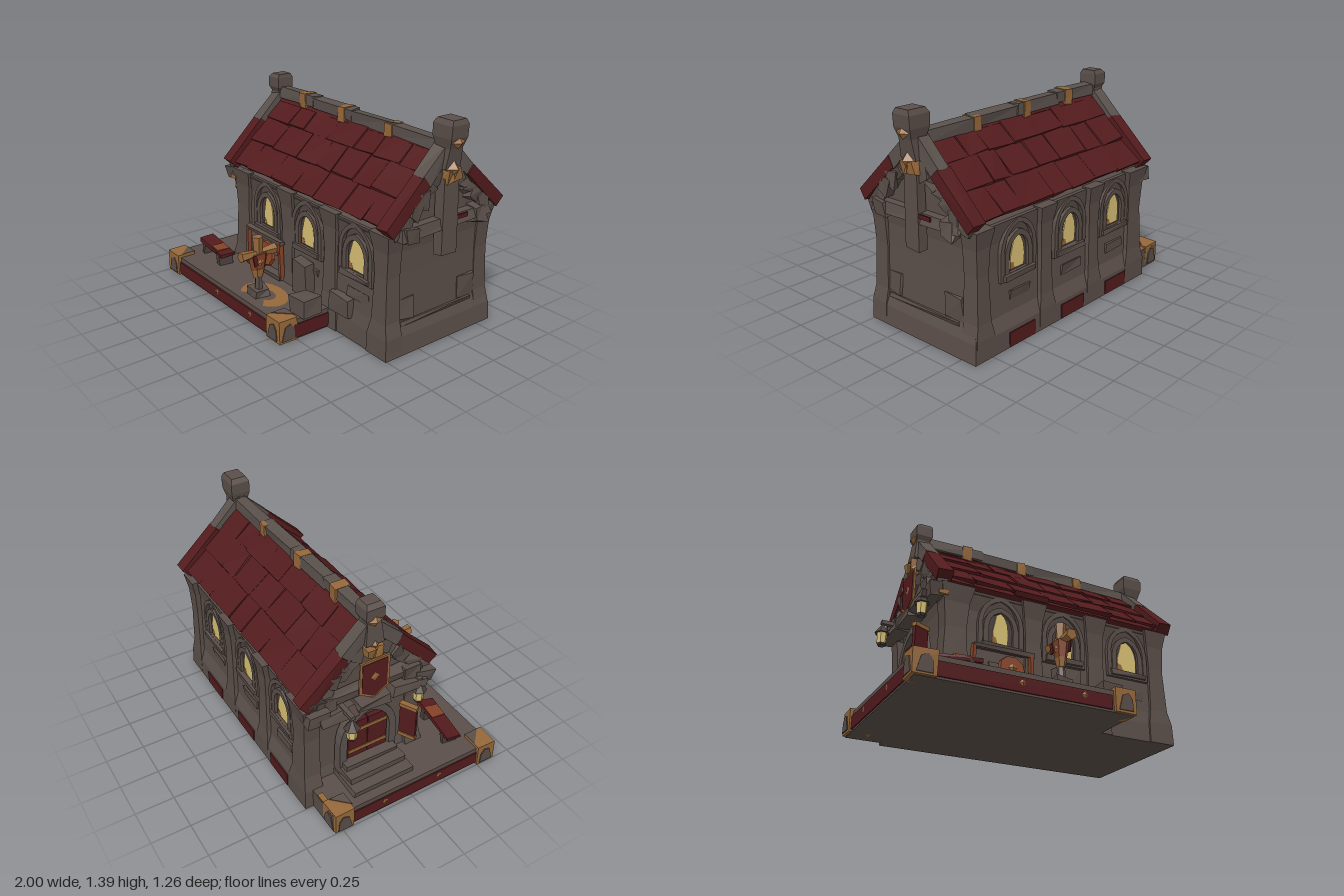
import * as THREE from 'three';

const flat = (name, color) => {
  const m = new THREE.MeshStandardMaterial({ color, flatShading: true });
  m.name = name;
  return m;
};
const stone = flat('stone', 0x5a4e49), lightStone = flat('light stone', 0x5a514c), darkStone = flat('dark stone', 0x4a403d);
const red = flat('dark red', 0x531b1d), gold = flat('bronze', 0x96683a), glow = flat('window yellow', 0xd8c074);
const rust = flat('rust', 0x844328);

let seed = 7;
const rnd = () => (seed = (seed * 16807) % 2147483647) / 2147483647;
const jit = (a) => (rnd() - 0.5) * 2 * a;

function add(parent, name, geo, mat, x = 0, y = 0, z = 0) {
  const m = new THREE.Mesh(geo, mat);
  m.name = name;
  m.position.set(x, y, z);
  parent.add(m);
  return m;
}
function group(parent, name, x = 0, y = 0, z = 0, ry = 0) {
  const g = new THREE.Group();
  g.name = name;
  g.position.set(x, y, z);
  g.rotation.y = ry;
  parent.add(g);
  return g;
}
// Box with corners nudged for a hand-hewn look
function box(parent, name, mat, w, h, d, x, y, z, rough = 0) {
  const geo = new THREE.BoxGeometry(w, h, d), p = geo.attributes.position;
  const off = Array.from({ length: 8 }, () => [jit(rough), jit(rough), jit(rough)]);
  for (let i = 0; i < p.count; i++) {
    const k = (p.getX(i) > 0 ? 1 : 0) + (p.getY(i) > 0 ? 2 : 0) + (p.getZ(i) > 0 ? 4 : 0);
    p.setXYZ(i, p.getX(i) + off[k][0], p.getY(i) + off[k][1], p.getZ(i) + off[k][2]);
  }
  return add(parent, name, geo, mat, x, y, z);
}
// Stacked rectangles [y, x0, x1, z0, z1] joined into a solid
function loft(rings) {
  const pos = [], idx = [];
  rings.forEach(([y, x0, x1, z0, z1]) => pos.push(x0, y, z1, x1, y, z1, x1, y, z0, x0, y, z0));
  for (let i = 0; i < rings.length - 1; i++) for (let j = 0; j < 4; j++) {
    const a = i * 4 + j, b = i * 4 + (j + 1) % 4;
    idx.push(a, b, b + 4, a, b + 4, a + 4);
  }
  const t = (rings.length - 1) * 4;
  idx.push(t, t + 1, t + 2, t, t + 2, t + 3, 0, 2, 1, 0, 3, 2);
  const g = new THREE.BufferGeometry();
  g.setAttribute('position', new THREE.Float32BufferAttribute(pos, 3));
  g.setIndex(idx);
  const out = g.toNonIndexed();
  out.computeVertexNormals();
  return out;
}
const extrude = (shape, depth) => new THREE.ExtrudeGeometry(shape, { depth, bevelEnabled: false, curveSegments: 5 });
const poly = (pts) => new THREE.Shape(pts.map(([x, y]) => new THREE.Vector2(x, y)));
// Pointed arch outline, half width w, from y0 to y1
function arch(w, y0, y1) {
  const s = new THREE.Shape();
  s.moveTo(-w, y0); s.lineTo(w, y0); s.lineTo(w, y1 - w * 1.2);
  s.quadraticCurveTo(w * 0.9, y1 - w * 0.25, 0, y1);
  s.quadraticCurveTo(-w * 0.9, y1 - w * 0.25, -w, y1 - w * 1.2);
  return s;
}
function archRing(w, y0, y1, t) {
  const s = arch(w, y0, y1);
  s.holes.push(arch(w - t, y0 + t * 0.7, y1 - t));
  return s;
}

function windowBay(parent, x, z, ry, half) {
  const g = group(parent, 'window', x, 0, z, ry);
  add(g, 'outerArch', extrude(archRing(0.15, 0.4, 0.76, 0.03), 0.03), stone, 0, 0, -0.005);
  add(g, 'windowFrame', extrude(archRing(0.115, 0.42, 0.69, 0.035), 0.025), stone);
  add(g, 'windowRecess', extrude(arch(0.1, 0.43, 0.68), 0.006), darkStone);
  // Cracked pane with an uneven outline
  const pane = [[-1, 0], [0.9, 0], [1, 0.35], [0.85, 0.65], [0.5, 0.88], [0.05, 1], [-0.5, 0.9], [-0.75, 0.62], [-0.95, 0.4]];
  add(g, 'windowGlass', extrude(poly(pane.map(([u, v]) => [u * half, 0.455 + v * 0.2])), 0.008), glow, 0, 0, 0.004);
  add(g, 'windowStain', extrude(poly([[-half, 0.455], [-half * 0.4, 0.455], [-half * 0.6, 0.49], [-half, 0.5]]), 0.002), gold, 0, 0, 0.0115);
  box(g, 'windowSill', stone, 0.26, 0.035, 0.05, 0, 0.425, 0.015, 0.006);
  box(g, 'wallBlock', stone, 0.18, 0.06, 0.03, 0.02, 0.3, 0.005, 0.008);
}

function buildRoof(root) {
  for (const side of [0, 1]) {
    const g = group(root, side ? 'backRoof' : 'frontRoof', 0.08, 1.225, -0.165);
    g.rotation.order = 'YXZ';
    g.rotation.set(0.77, side * Math.PI, 0);
    box(g, 'roofSlab', red, 1.52, 0.03, 0.575, 0, -0.047, 0.2875);
    // Three courses of broad, uneven tiles
    for (let r = 0; r < 3; r++) {
      for (let x = -0.75; x < 0.74;) {
        let w = 0.15 + rnd() * 0.12;
        if (x + w > 0.66) w = 0.75 - x;
        const t = box(g, 'roofTile', red, w - 0.004, 0.024, 0.215, x + w / 2, -0.012, 0.1 + r * 0.192, 0.007);
        t.rotation.set(-0.06 + jit(0.015), jit(0.02), 0);
        x += w;
      }
    }
    // Verge boards, stone above and red below
    for (const s of [-1, 1]) {
      box(g, 'vergeUpper', lightStone, 0.085, 0.08, 0.26, s * 0.785, -0.005, 0.12, 0.006);
      box(g, 'vergeLower', red, 0.09, 0.075, 0.365, s * 0.785, -0.003, 0.427, 0.006);
    }
  }
  // Ridge beam with bands
  for (let i = 0; i < 4; i++)
    box(root, 'ridgeBeam', lightStone, 0.4, 0.075, 0.075, -0.49 + i * 0.38, 1.238 - i * 0.009, -0.165, 0.008);
  for (const x of [-0.4, 0, 0.44]) box(root, 'ridgeBand', gold, 0.065, 0.1, 0.09, x, 1.232 - (x + 0.4) * 0.025, -0.165, 0.006);
  // Ridge posts with bevelled heads
  add(root, 'leftRidgePost', loft([[1.1, -0.77, -0.66, -0.225, -0.105], [1.24, -0.755, -0.67, -0.21, -0.12],
    [1.27, -0.765, -0.655, -0.225, -0.105], [1.335, -0.765, -0.655, -0.225, -0.105], [1.36, -0.74, -0.66, -0.21, -0.12]]), stone);
  add(root, 'rightRidgePost', loft([[1.1, 0.84, 0.93, -0.225, -0.105], [1.22, 0.84, 0.95, -0.215, -0.115],
    [1.28, 0.825, 0.97, -0.23, -0.1], [1.355, 0.825, 0.975, -0.23, -0.1], [1.385, 0.845, 0.965, -0.215, -0.115]]), stone);
}

function buildGable(root, x, s) {
  const g = group(root, s > 0 ? 'rightGable' : 'leftGable', x, 0, -0.165, s * Math.PI / 2);
  box(g, 'gableBeam', stone, 0.7, 0.07, 0.07, 0, 0.775, 0.02, 0.014);
  // Rubble stones under the verge
  for (const m of [-1, 1]) {
    for (let i = 0; i < 6; i++) {
      const b = box(g, 'gableStone', stone, 0.1, 0.075, 0.06, m * (0.08 + i * 0.055), 1.04 - i * 0.05, 0.01, 0.018);
      b.rotation.z = -m * (0.8 + jit(0.5));
    }
    box(g, 'gableBracket', stone, 0.09, 0.1, 0.08, m * 0.27, 0.76, 0.02, 0.02);
  }
  add(g, 'ridgeOrnament', new THREE.OctahedronGeometry(0.05), gold, 0, 1.255, s > 0 ? 0.104 : 0.06).scale.set(1, 0.75, 0.5);
  add(g, 'gableOrnament', new THREE.OctahedronGeometry(0.05), gold, 0, 1.1, s > 0 ? 0.065 : 0.04).scale.y = 1.2;
  for (const m of [-1, 1]) box(g, 'ornamentWing', gold, 0.05, 0.07, 0.07, m * 0.03, 1.055, 0.05, 0.014);
  return g;
}

function buildDoor(g) {
  add(g, 'doorArch', extrude(archRing(0.2, 0.13, 0.64, 0.05), 0.06), lightStone, 0, 0, -0.02);
  add(g, 'doorway', extrude(arch(0.16, 0.13, 0.6), 0.02), darkStone, 0, 0, -0.025);
  for (const s of [-1, 1]) box(g, 'door', red, 0.135, 0.31, 0.03, s * 0.07, 0.37, 0.012);
  for (const y of [0.3, 0.46]) box(g, 'doorBand', gold, 0.27, 0.025, 0.008, 0, y, 0.028);
  // Standing banner beside the door
  const leaf = group(g, 'sideBanner', 0.24, 0.4, 0.03, -1.1);
  box(leaf, 'sideBannerCloth', red, 0.11, 0.26, 0.022, 0.05, 0, 0);
  for (const y of [-0.11, 0.12]) box(leaf, 'sideBannerTrim', gold, 0.113, 0.025, 0.036, 0.05, y, 0);
  for (let i = 0; i < 3; i++) box(g, 'step', stone, 0.42 - i * 0.03, 0.04, 0.25 - i * 0.07, 0, 0.15 + i * 0.04, 0.1 - i * 0.035, 0.006);
  // Stone lintel over the entrance
  for (const x of [-0.24, 0, 0.24]) box(g, 'entranceLintel', stone, 0.23, 0.06, 0.1, x, 0.7, 0.05, 0.014);
  // Banner over the door
  const cut = [[-0.1, 1], [-0.1, 0.78], [0, 0.72], [0.1, 0.78], [0.1, 1]];
  add(g, 'bannerTrim', extrude(poly(cut), 0.012), gold, 0, 0, 0.066);
  add(g, 'banner', extrude(poly(cut.map(([x, y]) => [x * 0.85, 0.86 + (y - 0.86) * 0.9])), 0.008), red, 0, 0, 0.073);
  add(g, 'bannerEmblem', new THREE.OctahedronGeometry(0.028), gold, 0, 0.88, 0.081).scale.z = 0.2;
  // Lanterns on either side
  for (const [x, z] of [[-0.2, 0.16], [0.31, 0.093]]) {
    const l = group(g, 'lantern', x, 0.615, z);
    add(l, 'lanternGlass', new THREE.CylinderGeometry(0.034, 0.03, 0.075, 6), glow);
    add(l, 'lanternRoof', new THREE.ConeGeometry(0.05, 0.07, 6), darkStone, 0, 0.068, 0);
    add(l, 'lanternBase', new THREE.CylinderGeometry(0.034, 0.025, 0.015, 6), darkStone, 0, -0.044, 0);
    box(l, 'lanternArm', stone, 0.03, 0.025, z + 0.02, 0, 0.11, -z / 2);
  }
}

function buildPlatform(root) {
  box(root, 'platform', stone, 1.33, 0.13, 1.16, -0.315, 0.065, 0.025);
  box(root, 'frontRedPanel', red, 1.08, 0.085, 0.02, -0.34, 0.055, 0.605);
  box(root, 'leftRedPanel', red, 0.015, 0.085, 1, -0.98, 0.055, 0.03);
  box(root, 'rightRedPanel', red, 0.015, 0.09, 0.3, 0.35, 0.055, 0.37);
  for (const x of [-0.37, 0.02]) add(root, 'panelStud', new THREE.OctahedronGeometry(0.028), gold, x, 0.065, 0.612).scale.z = 0.4;
  for (const z of [-0.2, 0.2]) add(root, 'panelStud', new THREE.OctahedronGeometry(0.028), gold, -0.985, 0.065, z).scale.x = 0.4;
  // Metal corner blocks with stone showing through
  const tri = poly([[-0.05, -0.06], [0.045, -0.06], [0.04, 0.01], [0.015, 0.045], [-0.025, 0.03]]);
  for (const [x, z, sx, sz] of [[-0.93, 0.56, -1, 1], [0.285, 0.56, 1, 1], [-0.93, -0.49, -1, -1]]) {
    const c = group(root, 'cornerBlock', x, 0.075, z);
    box(c, 'cornerMetal', gold, 0.14, 0.146, 0.13, 0, 0, 0, 0.003);
    add(c, 'cornerInlay', extrude(tri, 0.006), stone, 0, 0, sz > 0 ? 0.066 : -0.072);
    add(c, 'cornerInlay', extrude(tri, 0.006), stone, sx > 0 ? 0.071 : -0.077, 0, 0).rotation.y = Math.PI / 2;
    // Stone lapping over the inner top corner
    const lap = poly([[-0.07, -0.064], [0.03, -0.064], [-0.07, 0.035]]);
    const top = add(c, 'cornerTopInlay', extrude(lap, 0.004), stone, 0, 0.074, 0);
    top.rotation.set(-Math.PI / 2, 0, sx > 0 ? -Math.PI / 2 : sz > 0 ? Math.PI : Math.PI / 2);
  }
  box(root, 'backEdgeMetal', gold, 0.08, 0.012, 0.035, -0.83, 0.132, -0.535);
}

function buildYard(root) {
  // Bench
  const bench = group(root, 'bench', -0.71, 0, 0.4, -0.12);
  box(bench, 'benchSeat', red, 0.37, 0.025, 0.1, 0, 0.215, 0, 0.008);
  box(bench, 'benchPatch', rust, 0.1, 0.008, 0.09, 0.06, 0.23, 0);
  for (const s of [-1, 1]) box(bench, 'benchLeg', darkStone, 0.035, 0.08, 0.1, s * 0.12, 0.17, 0, 0.008);
  // Training dummy on a ring marked in the paving
  const ring = add(root, 'groundRing', new THREE.RingGeometry(0.09, 0.19, 20, 1, -0.85, Math.PI + 1.7), gold, -0.035, 0.134, 0.465);
  ring.rotation.x = -Math.PI / 2;
  ring.scale.y = 0.68;
  const d = group(root, 'trainingDummy', -0.06, 0, 0.49);
  box(d, 'dummyBase', stone, 0.1, 0.05, 0.11, 0, 0.155, 0, 0.012);
  add(d, 'dummyPost', new THREE.CylinderGeometry(0.022, 0.03, 0.18, 6), stone, 0, 0.2, 0);
  add(d, 'dummyBody', new THREE.CylinderGeometry(0.075, 0.052, 0.11, 6), rust, 0, 0.365, 0).scale.x = 0.55;
  add(d, 'dummyBelly', new THREE.CylinderGeometry(0.052, 0.035, 0.06, 6), gold, 0, 0.285, 0).scale.x = 0.6;
  for (const s of [-1, 1]) {
    const arm = add(d, 'dummyArm', new THREE.CylinderGeometry(0.036, 0.022, 0.115, 5), gold, 0, 0.42, s * 0.07);
    arm.rotation.x = s * Math.PI / 2;
    add(d, 'dummyEmblem', new THREE.OctahedronGeometry(0.026), gold, s * 0.033, 0.365, 0).scale.x = 0.4;
    box(d, 'dummyStrap', red, 0.006, 0.07, 0.03, s * 0.036, 0.385, s * 0.04).rotation.x = s * 0.2;
  }
  add(d, 'dummyHead', new THREE.CylinderGeometry(0.036, 0.026, 0.14, 5), gold, 0, 0.46, 0);
  // Rack with a round shield
  const k = group(root, 'shieldRack', -0.31, 0, 0.265);
  for (const x of [-0.2, 0.18]) box(k, 'rackPost', rust, 0.022, 0.25, 0.03, x, 0.275, 0, 0.004).rotation.z = x * 0.2;
  box(k, 'rackRail', stone, 0.4, 0.025, 0.03, 0, 0.4, 0, 0.006);
  box(k, 'rackFoot', stone, 0.38, 0.04, 0.06, 0, 0.15, 0, 0.008);
  add(k, 'shield', new THREE.CylinderGeometry(0.08, 0.088, 0.02, 9), rust, 0.04, 0.285, 0.02).rotation.x = 1.42;
  add(k, 'shieldBoss', new THREE.OctahedronGeometry(0.028), gold, 0.04, 0.287, 0.032).scale.z = 0.4;
  // Stone crates
  box(root, 'tallCrate', stone, 0.15, 0.23, 0.07, 0.11, 0.245, 0.265, 0.008);
  box(root, 'smallCrate', stone, 0.14, 0.11, 0.13, 0.31, 0.185, 0.4, 0.008);
  box(root, 'sideCrate', stone, 0.18, 0.13, 0.1, 0.47, 0.2, 0.225, 0.01);
}

export function createModel() {
  const root = new THREE.Group();
  root.name = 'chapel';
  // Flared walls and gable prism
  add(root, 'walls', loft([[0, -0.7, 0.89, -0.61, 0.25], [0.12, -0.69, 0.88, -0.605, 0.245], [0.2, -0.67, 0.85, -0.57, 0.23],
    [0.5, -0.665, 0.84, -0.555, 0.215], [0.64, -0.67, 0.84, -0.555, 0.215], [0.76, -0.69, 0.86, -0.575, 0.24]]), stone);
  add(root, 'gablePrism', extrude(poly([[-0.57, 0.74], [0.24, 0.74], [-0.165, 1.15]]), 1.53), stone, 0.85, 0, 0).rotation.y = -Math.PI / 2;
  for (const [x, half] of [[-0.32, 0.05], [0.11, 0.063], [0.58, 0.07]]) windowBay(root, x, 0.215, 0, half);
  for (const x of [-0.42, 0.03, 0.5]) {
    windowBay(root, x, -0.555, Math.PI, 0.06);
    box(root, 'backRedPanel', red, 0.22, 0.09, 0.016, x, 0.05, -0.606);
  }
  // Buttresses, front and back
  const buttress = (x, w, wall, s) => {
    const rows = [[0, 1.25, 0.045], [0.13, 1.2, 0.042], [0.22, 0.9, 0.03], [0.5, 0.75, 0.02], [0.66, 0.9, 0.025], [0.77, 1.2, 0.045]];
    add(root, 'buttress', loft(rows.map(([y, k, d]) => [y, x - w * k, x + w * k, s > 0 ? wall - 0.08 : wall - d, s > 0 ? wall + d : wall + 0.08])), stone);
  };
  for (const x of [-0.1, 0.34, 0.8]) buttress(x, 0.07, 0.215, 1);
  for (const x of [-0.195, 0.265, 0.8]) buttress(x, 0.06, -0.565, -1);
  buttress(-0.61, 0.09, 0.215, 1);
  buttress(-0.64, 0.085, -0.565, -1);
  for (const z of [0.19, -0.53]) {
    box(root, 'pillarCap', stone, 0.17, 0.08, 0.12, -0.7, 0.72, z, 0.012);
    box(root, 'pillarCapTrim', gold, 0.06, 0.025, 0.13, -0.7, 0.7, z);
  }

  buildRoof(root);
  // Carved end wall
  const right = buildGable(root, 0.86, 1);
  box(right, 'hangingBeam', stone, 0.115, 0.47, 0.07, 0, 0.815, 0.035, 0.008);
  box(right, 'redScrap', red, 0.1, 0.025, 0.01, 0.1, 0.79, 0.062);
  box(right, 'carvedLedge', stone, 0.58, 0.025, 0.03, 0, 0.19, -0.012, 0.006);
  for (const s of [-1, 1]) box(right, 'carvedBlock', stone, 0.13, 0.14, 0.02, s * 0.25, 0.28, -0.015, 0.012);
  // Entrance end
  buildDoor(buildGable(root, -0.7, -1));
  buildPlatform(root);
  buildYard(root);
  return root;
}
